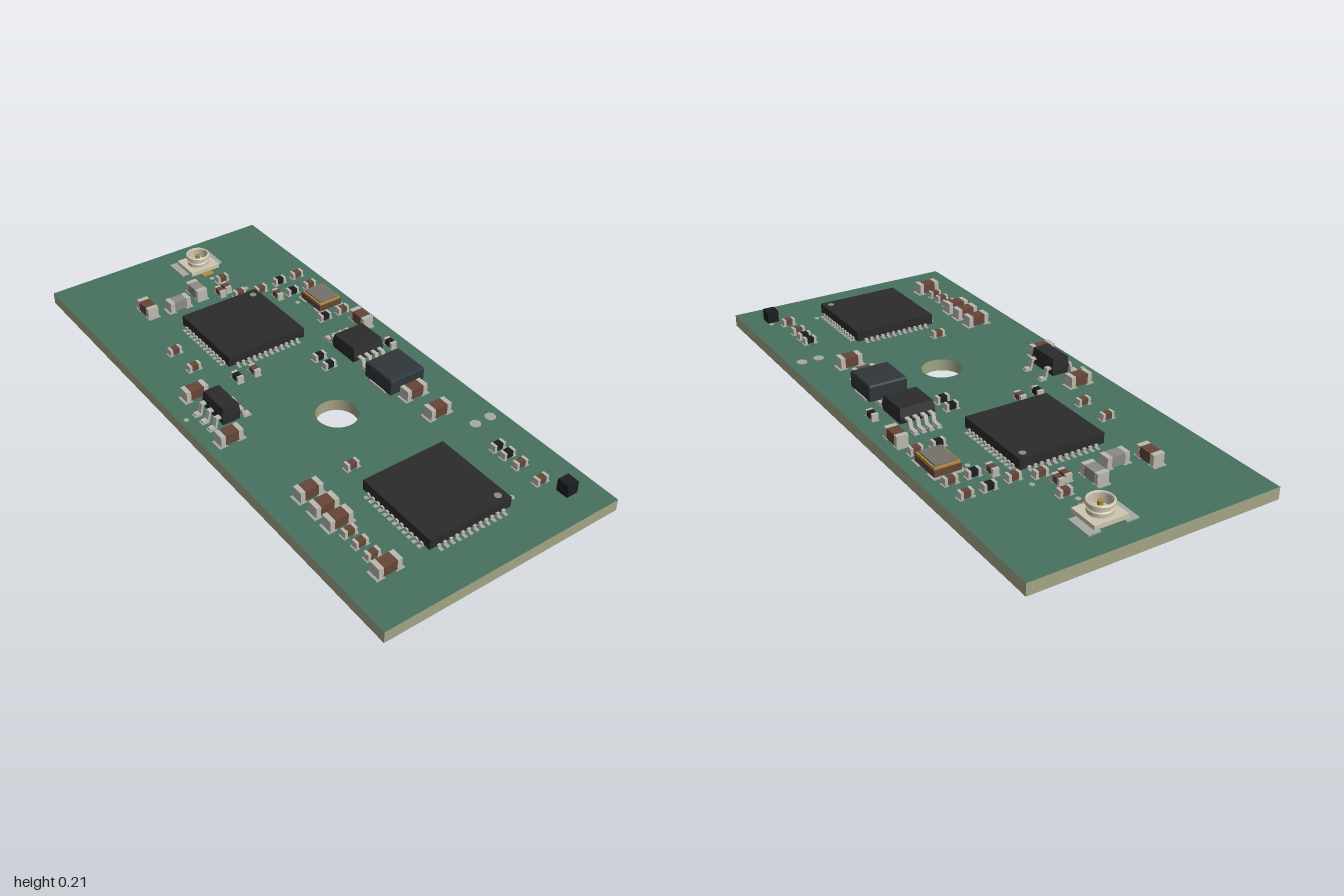
import * as THREE from 'three';

const mat = (color, side = THREE.FrontSide) => new THREE.MeshStandardMaterial({ color, side });
const M = {
  mask: mat(0x47705e), edge: mat(0xa3a585), black: mat(0x2b2b2b), plastic: mat(0x1b1c21),
  metal: mat(0xbab9b0), pad: mat(0xa5aaa2), brown: mat(0x664636), grey: mat(0x8b8a84),
  gold: mat(0xb08d3c), cream: mat(0xcdc6b0), lid: mat(0x77706a), coil: mat(0x30363a),
};
const TOP = 0.133, BOTTOM = 0.09;

function add(parent, name, geo, material, x = 0, y = 0, z = 0) {
  const m = new THREE.Mesh(geo, material);
  m.name = name;
  m.position.set(x, y, z);
  parent.add(m);
  return m;
}

// box given by its centre in x and z and its lowest and highest y
const box = (p, name, material, x, z, w, d, y0, y1) =>
  add(p, name, new THREE.BoxGeometry(w, y1 - y0, d), material, x, (y0 + y1) / 2, z);

const disc = (p, name, material, x, z, r, y0, y1) =>
  add(p, name, new THREE.CylinderGeometry(r, r, y1 - y0, 20), material, x, (y0 + y1) / 2, z);

function group(parent, name, x = 0, z = 0) {
  const g = new THREE.Group();
  g.name = name;
  g.position.set(x, 0, z);
  parent.add(g);
  return g;
}

// box whose top is narrower than its bottom
function taperedBox(p, name, material, w, d, y0, y1, sx, sz) {
  const geo = new THREE.BoxGeometry(w, y1 - y0, d).toNonIndexed();
  const a = geo.attributes.position;
  for (let i = 0; i < a.count; i++) {
    if (a.getY(i) > 0) a.setXYZ(i, a.getX(i) * sx, a.getY(i), a.getZ(i) * sz);
  }
  geo.computeVertexNormals();
  return add(p, name, geo, material, 0, (y0 + y1) / 2, 0);
}

// two-terminal chip: pads, end caps and a coloured middle
function chip(parent, x, z, vertical, big, material) {
  const g = group(parent, big ? 'largeChip' : 'smallChip', x, z);
  const [len, wid, h, cap] = big ? [0.083, 0.041, 0.036, 0.017] : [0.045, 0.023, 0.02, 0.01];
  const y0 = TOP + 0.005;
  box(g, 'chipBody', material, 0, 0, len - 2 * cap, wid, y0, y0 + h);
  for (const s of [-1, 1]) {
    box(g, 'chipPad', M.pad, s * len * 0.42, 0, len * 0.38, wid * 1.15, TOP, TOP + 0.003);
    box(g, 'chipEnd', M.metal, s * (len - cap) / 2, 0, cap, wid * 1.02, TOP + 0.003, y0 + h + 0.001);
  }
  if (vertical) g.rotation.y = Math.PI / 2;
}

// square flat package with short leads on all four sides
function flatPackage(parent, name, x, z, dotZ) {
  const g = group(parent, name, x, z);
  box(g, 'packageBody', M.black, 0, 0, 0.312, 0.312, TOP + 0.006, 0.176);
  disc(g, 'pinOneDot', M.grey, 0.127, dotZ, 0.012, 0.176, 0.177);
  for (let side = 0; side < 4; side++) {
    const row = group(g, 'leadRow');
    row.rotation.y = side * Math.PI / 2;
    for (let i = 0; i < 12; i++) {
      const px = (i - 5.5) * 0.0225;
      box(row, 'lead', M.metal, px, 0.156, 0.011, 0.012, TOP + 0.002, TOP + 0.013);
      box(row, 'leadPad', M.pad, px, 0.162, 0.012, 0.026, TOP, TOP + 0.003);
    }
  }
}

// bent lead reaching out along +x
function bentLead(width, reach, height) {
  const t = 0.007, m = reach * 0.4;
  const s = new THREE.Shape([[-0.01, height], [m - t, height], [m, 0], [reach, 0], [reach, t],
    [m + t, t], [m, height + t], [-0.01, height + t]].map(p => new THREE.Vector2(...p)));
  const geo = new THREE.ExtrudeGeometry(s, { depth: width, bevelEnabled: false });
  return geo.translate(0, 0, -width / 2);
}

// body with rows of bent leads on its -x and +x sides
function leadedPackage(parent, name, x, z, o) {
  const g = group(parent, name, x, z);
  taperedBox(g, 'packageLower', M.black, o.w * 0.9, o.d * 0.97, o.y0, o.mid, 1.11, 1.03);
  taperedBox(g, 'packageUpper', M.black, o.w, o.d, o.mid, o.y1, 0.86, 0.94);
  const geo = bentLead(o.lead, o.reach, o.mid - TOP - 0.007);
  [o.left, o.right].forEach((places, side) => {
    for (const pz of places) {
      const sx = side ? 1 : -1;
      const lead = add(g, 'lead', geo, M.metal, sx * o.w / 2, TOP + 0.003, pz);
      if (!side) lead.rotation.y = Math.PI;
      box(g, 'leadPad', M.pad, sx * (o.w / 2 + o.reach * 0.78), pz, o.reach * 0.65, o.lead * 1.3, TOP, TOP + 0.003);
    }
  });
  return g;
}

// socket hanging below the board, open downwards
function socket(parent, name, z, len, depth, yLow, yHigh, foot, pins) {
  const g = group(parent, name, 0, z);
  const wall = depth * 0.17, end = len * 0.07, lip = yLow + foot;
  box(g, 'socketFloor', M.plastic, 0, 0, len, depth * 0.98, yHigh - 0.025, yHigh);
  box(g, 'socketTongue', M.plastic, 0, 0, len - 4 * end, depth * 0.2, lip + 0.008, yHigh - 0.02);
  const pitch = (len - 2.6 * end) / pins;
  for (const s of [-1, 1]) {
    box(g, 'socketWall', M.plastic, 0, s * (depth - wall) / 2, len - end, wall, lip, yHigh - 0.001);
    box(g, 'socketEnd', M.plastic, s * (len - end) / 2, 0, end, depth, yLow, yHigh);
    for (let i = 0; i < pins; i++) {
      const px = (i - (pins - 1) / 2) * pitch;
      box(g, 'pinTail', M.gold, px, s * (depth / 2 + 0.008), 0.007, 0.026, BOTTOM - 0.009, BOTTOM - 0.003);
      box(g, 'pinPad', M.pad, px, s * (depth / 2 + 0.014), 0.009, 0.028, BOTTOM - 0.003, BOTTOM);
      box(g, 'contact', M.gold, px, s * depth * 0.115, 0.007, 0.006, lip + 0.014, yHigh - 0.02);
    }
  }
}

export function createModel() {
  const root = new THREE.Group();
  root.name = 'circuitBoard';

  // board with mounting hole
  const outline = new THREE.Shape([[-0.444, -1], [0.444, -1], [0.444, 1], [-0.444, 1]].map(p => new THREE.Vector2(...p)));
  outline.holes.push(new THREE.Path().absarc(0, -0.187, 0.072, 0, Math.PI * 2, true));
  const slab = new THREE.ExtrudeGeometry(outline, { depth: TOP - BOTTOM, bevelEnabled: false, curveSegments: 32 });
  add(root, 'board', slab.rotateX(-Math.PI / 2), [M.mask, M.edge], 0, BOTTOM, 0);

  // large square packages
  flatPackage(root, 'rearProcessor', 0, -0.38, -0.127);
  flatPackage(root, 'frontProcessor', 0, 0.684, 0.127);

  // eight-lead and five-lead packages
  const four = [-0.042, -0.014, 0.014, 0.042];
  leadedPackage(root, 'eightLeadPackage', 0.265, -0.053, {
    w: 0.127, d: 0.127, y0: TOP + 0.01, mid: 0.165, y1: 0.197, lead: 0.014, reach: 0.062, left: four, right: four,
  }).rotation.y = Math.PI / 2;
  leadedPackage(root, 'fiveLeadPackage', -0.312, -0.024, {
    w: 0.068, d: 0.125, y0: TOP + 0.012, mid: 0.172, y1: 0.207, lead: 0.018, reach: 0.042,
    left: [-0.045, 0, 0.045], right: [-0.045, 0.045],
  });

  // inductor
  const coil = group(root, 'inductor', 0.266, 0.15);
  box(coil, 'inductorBase', M.coil, 0, 0, 0.14, 0.138, TOP + 0.006, 0.19);
  taperedBox(coil, 'inductorTop', M.coil, 0.14, 0.138, 0.19, 0.197, 0.96, 0.96);
  for (const s of [-1, 1]) box(coil, 'inductorPad', M.metal, s * 0.052, 0, 0.045, 0.08, TOP, TOP + 0.007);

  // crystal
  const crystal = group(root, 'crystal', 0.344, -0.38);
  box(crystal, 'crystalBase', M.brown, 0, 0, 0.095, 0.118, TOP + 0.004, 0.16);
  box(crystal, 'crystalRim', M.gold, 0, 0, 0.09, 0.112, 0.16, 0.167);
  box(crystal, 'crystalLid', M.lid, 0, 0, 0.078, 0.1, 0.167, 0.172);
  for (const sx of [-1, 1]) for (const sz of [-1, 1])
    box(crystal, 'crystalPad', M.pad, sx * 0.036, sz * 0.047, 0.04, 0.042, TOP, TOP + 0.004);

  // small black cube
  box(root, 'cornerCube', M.plastic, 0.345, 0.884, 0.043, 0.045, TOP, 0.177);

  // coaxial jack
  const jack = group(root, 'coaxialJack', 0.097, -0.85);
  for (const s of [-1, 1]) box(jack, 'jackPad', M.pad, s * 0.066, -0.018, 0.044, 0.095, TOP, TOP + 0.005);
  box(jack, 'jackFrontPad', M.gold, 0, 0.06, 0.045, 0.035, TOP, TOP + 0.005);
  box(jack, 'jackBase', M.cream, 0, 0, 0.12, 0.11, TOP + 0.004, 0.152);
  const profile = [[0.04, 0.15], [0.04, 0.165], [0.036, 0.168], [0.036, 0.174], [0.045, 0.179], [0.045, 0.19],
    [0.042, 0.193], [0.038, 0.193], [0.036, 0.189], [0.036, 0.156], [0, 0.156]].map(p => new THREE.Vector2(...p));
  const shell = new THREE.LatheGeometry(profile, 32).toNonIndexed();
  shell.computeVertexNormals();
  add(jack, 'jackShell', shell, mat(0xcdc6b0, THREE.DoubleSide));
  disc(jack, 'jackPin', M.gold, 0, 0, 0.009, 0.155, 0.187);

  // two-terminal chips: x, z, vertical
  const B = 1, S = 0;
  const sets = [
    [B, M.brown, [[-0.217, -0.683, 1], [0.381, -0.185, 1], [-0.333, -0.159], [-0.36, 0.098], [0.265, 0.254], [0.265, 0.376],
      [-0.302, 0.45], [-0.302, 0.529], [-0.302, 0.598], [-0.302, 0.825]]],
    [B, M.grey, [[-0.111, -0.646], [-0.01, -0.683, 1]]],
    [S, M.brown, [[0.117, -0.709], [0.063, -0.635, 1], [0.095, -0.646, 1], [0.117, -0.587], [0.196, -0.563], [0.365, -0.571],
      [0.228, -0.497, 1], [0.365, -0.484], [0.365, -0.278], [-0.265, -0.407], [-0.259, -0.288], [-0.1, -0.153, 1],
      [-0.122, 0.426], [-0.302, 0.653], [-0.302, 0.706], [-0.302, 0.762], [0.307, 0.72], [0.307, 0.81]]],
    [S, M.plastic, [[0.286, -0.571], [0.286, -0.484], [0.286, -0.278], [-0.169, -0.153, 1], [0.127, -0.09], [0.127, -0.032],
      [0.376, -0.011, 1], [0.307, 0.619], [0.307, 0.664]]],
  ];
  for (const [big, material, places] of sets)
    for (const [x, z, vertical] of places) chip(root, x, z, vertical, big, material);

  // test pads and marker dots
  for (const x of [0.333, 0.397]) disc(root, 'testPad', M.pad, x, 0.487, 0.019, TOP, TOP + 0.002);
  for (const [x, z] of [[0.164, -0.614], [0.095, -0.746], [0.268, -0.423], [-0.421, -0.066], [0.19, 0.81], [0.36, 0.847], [0.339, -0.143]])
    disc(root, 'markerDot', M.pad, x, z, 0.009, TOP, TOP + 0.002);

  // sockets under the board
  socket(root, 'rearSocket', -0.365, 0.47, 0.13, 0, 0.084, 0.012, 22);
  socket(root, 'frontSocket', 0.75, 0.42, 0.082, 0.038, 0.086, 0.004, 22);
  return root;
}
